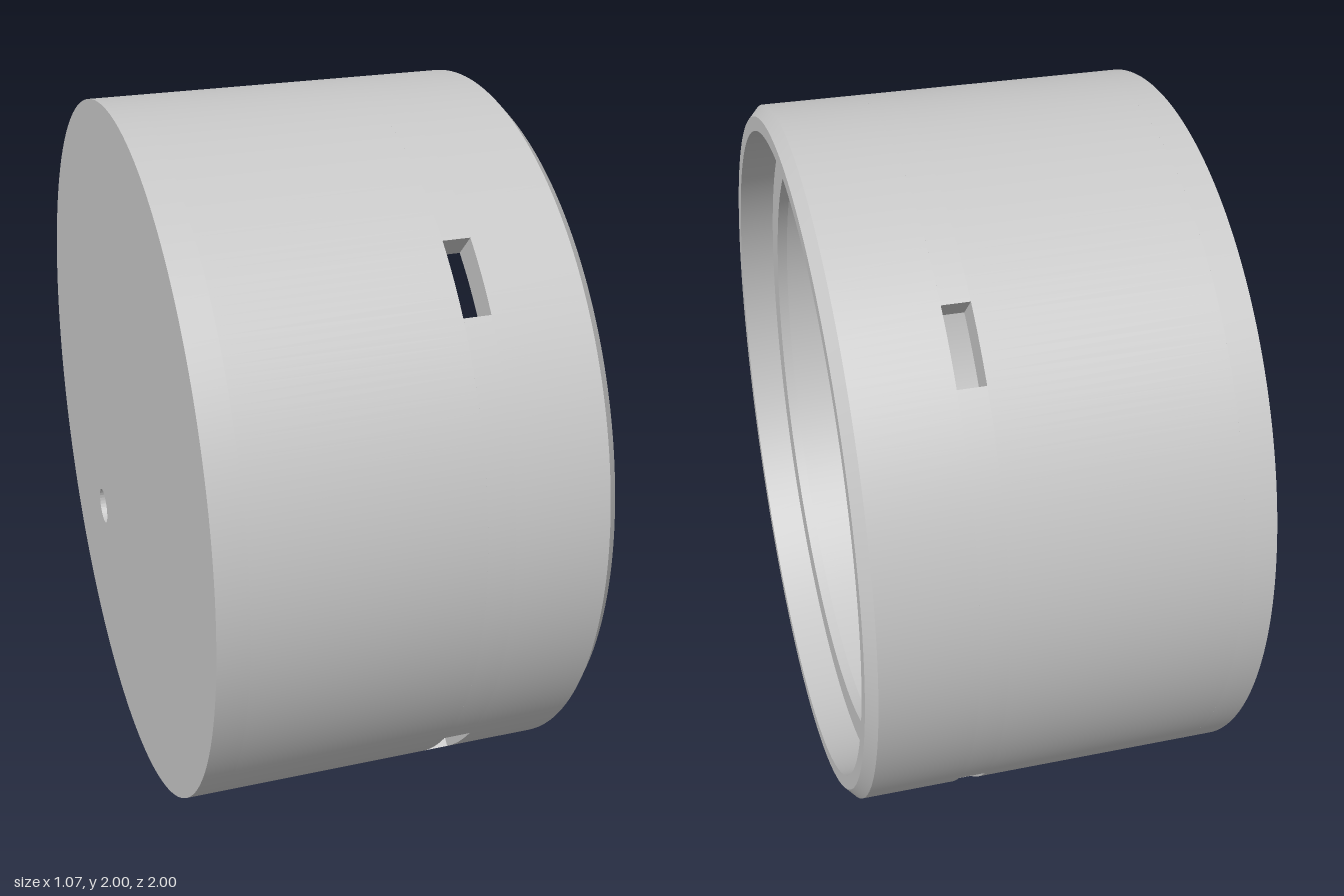
import * as THREE from 'three';
import { toCreasedNormals } from 'three/addons/utils/BufferGeometryUtils.js';

const SEGMENTS = 256;
const OUTER = 1, BORE = 0.912;           // wall radii
const BACK = -0.533, FLOOR = -0.447, FRONT = 0.533;
const SLOT_START = 0.17, SLOT_END = 0.245, SLOT_HALF = 0.106;
const LEDGE = 0.43;                      // seat inside the open rim

export function createModel() {
  const group = new THREE.Group();
  const grey = new THREE.MeshStandardMaterial({ color: 0xc8c8c8 });
  grey.name = 'light grey';

  const add = (name, geometry) => {
    const mesh = new THREE.Mesh(toCreasedNormals(geometry, 0.5), grey);
    mesh.name = name;
    group.add(mesh);
  };

  // Ring turned about the x axis from a closed [radius, x] profile
  const ring = (name, profile) => {
    const points = [...profile, profile[0]].map(([r, x]) => new THREE.Vector2(r, x));
    add(name, new THREE.LatheGeometry(points, SEGMENTS).rotateZ(-Math.PI / 2));
  };

  // Shape drawn across the x axis and extruded along it
  const slab = (name, shape, from, to, curveSegments) => {
    const geometry = new THREE.ExtrudeGeometry(shape, { depth: to - from, bevelEnabled: false, curveSegments });
    add(name, geometry.translate(0, 0, from).rotateY(Math.PI / 2));
  };

  // Closed end with a small round hole
  const disc = new THREE.Shape().absarc(0, 0, OUTER, 0, Math.PI * 2, false);
  disc.holes.push(new THREE.Path().absarc(0.38, -0.38, 0.054, 0, Math.PI * 2, true));
  slab('endPlate', disc, BACK, FLOOR, SEGMENTS);

  // Plain wall below the slots
  ring('lowerWall', [[BORE, FLOOR], [OUTER, FLOOR], [OUTER, SLOT_START], [BORE, SLOT_START]]);

  // Four wall sectors, leaving parallel-sided slots on the diagonals
  const outerGap = Math.asin(SLOT_HALF / OUTER), innerGap = Math.asin(SLOT_HALF / BORE);
  for (let i = 0; i < 4; i++) {
    const start = Math.PI / 4 + i * Math.PI / 2, end = start + Math.PI / 2;
    const sector = new THREE.Shape();
    sector.absarc(0, 0, OUTER, start + outerGap, end - outerGap, false);
    sector.absarc(0, 0, BORE, end - innerGap, start + innerGap, true);
    sector.closePath();
    slab('slotWall' + (i + 1), sector, SLOT_START, SLOT_END, SEGMENTS / 4);
  }

  // Open rim with chamfer, recess and inner ledge
  ring('rim', [
    [BORE, SLOT_END], [OUTER, SLOT_END], [OUTER, 0.505], [0.97, FRONT], [0.93, FRONT],
    [0.93, LEDGE], [0.84, LEDGE], [0.84, LEDGE - 0.03], [BORE, LEDGE - 0.03],
  ]);

  group.position.y = OUTER;
  return group;
}
